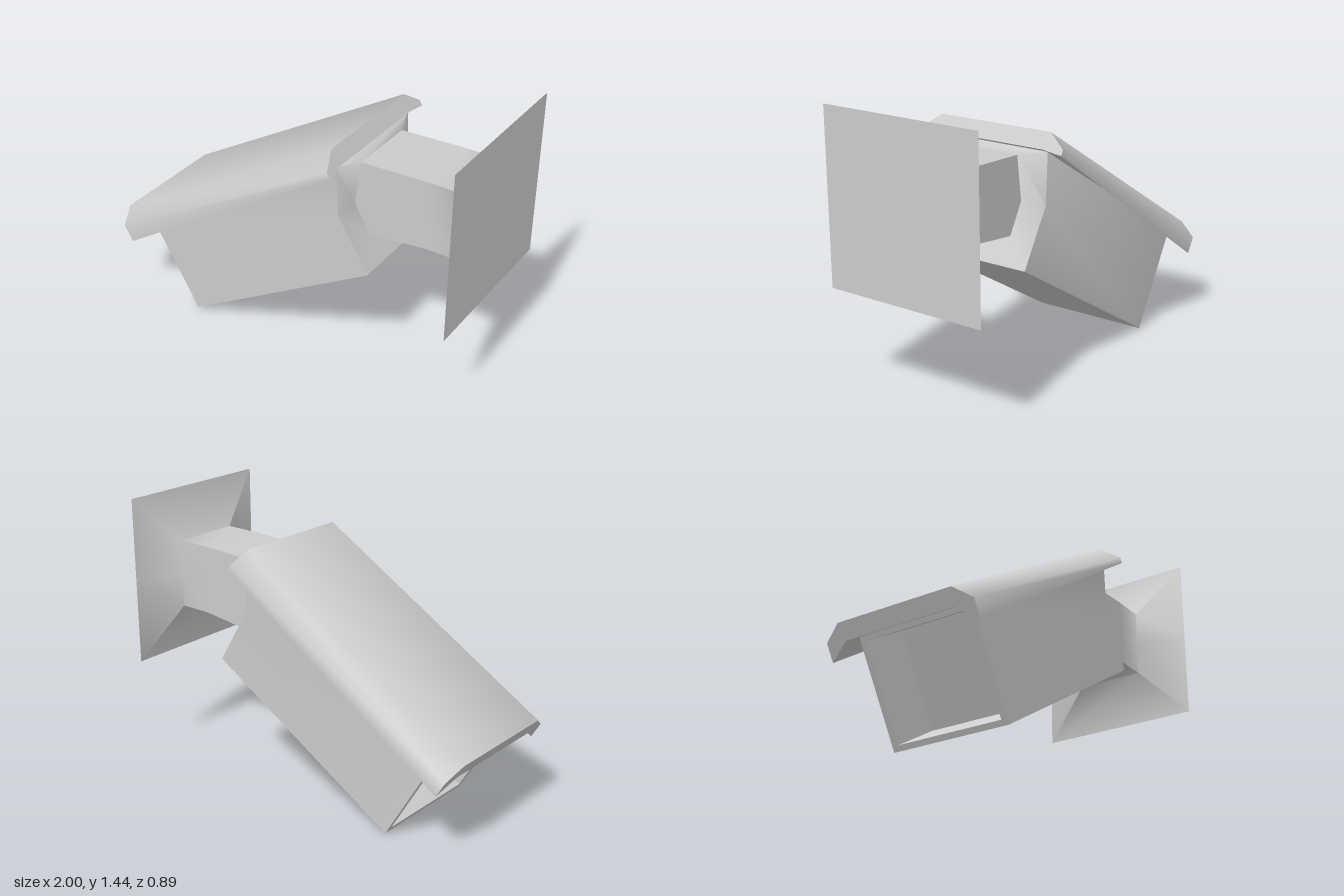
import * as THREE from 'three';
import { toCreasedNormals } from 'three/addons/utils/BufferGeometryUtils.js';

const material = new THREE.MeshStandardMaterial({ color: 0xcccccc });

// Skin a series of closed rings; caps are lists of corner triples
function loft(name, rings, startCap, endCap) {
  const pos = [];
  const tri = (...pts) => pts.forEach((p) => pos.push(...p));
  for (let i = 0; i < rings.length - 1; i++) {
    const r = rings[i], s = rings[i + 1], n = r.length;
    for (let j = 0; j < n; j++) {
      const k = (j + 1) % n;
      tri(r[j], r[k], s[k]);
      tri(r[j], s[k], s[j]);
    }
  }
  const last = rings[rings.length - 1];
  if (startCap) startCap.forEach(([a, b, c]) => tri(rings[0][a], rings[0][c], rings[0][b]));
  if (endCap) endCap.forEach(([a, b, c]) => tri(last[a], last[b], last[c]));
  const geo = new THREE.BufferGeometry();
  geo.setAttribute('position', new THREE.Float32BufferAttribute(pos, 3));
  const mesh = new THREE.Mesh(toCreasedNormals(geo, 1.35), material);
  mesh.name = name;
  return mesh;
}

// Mirror a half outline [x, y, z] (top to bottom) into a full ring
const mirrorRing = (half) => [...half, ...half.map(([x, y, z]) => [x, y, -z]).reverse()];

// Six-sided ring: top, middle and bottom points [x, y] at half width z
const ring = (top, mid, bottom, z) => mirrorRing([top, mid, bottom].map(([x, y]) => [x, y, z]));
const middle = (a, b) => [(a[0] + b[0]) / 2, (a[1] + b[1]) / 2];
const ring2 = (top, bottom, z) => ring(top, middle(top, bottom), bottom, z);

export function createModel() {
  const group = new THREE.Group();
  const hexCap = [[0, 1, 2], [0, 2, 3], [0, 3, 5], [3, 4, 5]];

  // Tilted housing with a recessed front; its rear narrows into the arm
  const armStart = ring([0.375, 1.165], [0.345, 0.93], [0.433, 0.778], 0.185);
  group.add(loft('housing', [
    ring2([-0.578, 0.618], [-0.318, 0.18], 0.295),
    ring2([-0.835, 0.464], [-0.575, 0.026], 0.295),
    ring2([-0.85, 0.49], [-0.56, 0], 0.325),
    ring([0.325, 1.19], [0.34, 0.93], [0.51, 0.65], 0.325),
    armStart,
  ], hexCap, null));

  // Arm flaring out into the square wall plate
  group.add(loft('wallArm', [
    armStart,
    ring2([0.73, 1.18], [0.75, 0.815], 0.185),
    ring2([0.92, 1.18], [0.92, 0.815], 0.185),
    ring2([1, 1.443], [1, 0.55], 0.445),
  ], null, hexCap));

  // Sun hood with sloped shoulders and side lips that get shallower to the rear
  const hoodRing = (x, y, lip) => mirrorRing(
    [[0.325, 0], [0.42, 0.075], [0.42, lip], [0.31, 0.09]]
      .map(([z, d]) => [x + 0.515 * d, y - 0.857 * d, z]));
  const hoodCap = [[0, 1, 3], [1, 2, 3], [0, 3, 4], [0, 4, 7], [4, 6, 7], [4, 5, 6]];
  group.add(loft('sunHood', [
    hoodRing(-1, 0.5, 0.17),
    hoodRing(0.3, 1.28, 0.105),
  ], hoodCap, hoodCap));

  return group;
}
